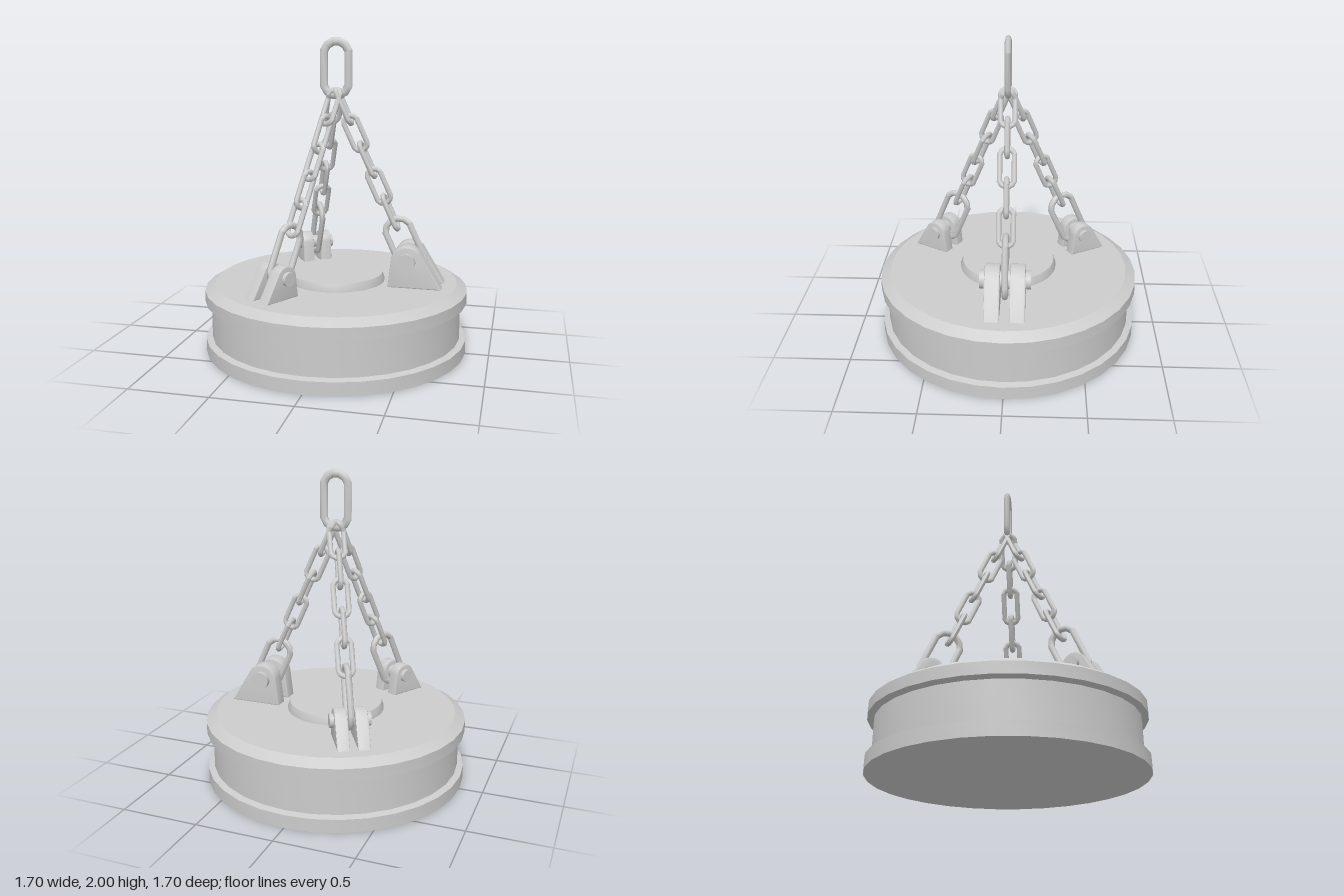
import * as THREE from 'three';
import { toCreasedNormals } from 'three/addons/utils/BufferGeometryUtils.js';

const material = new THREE.MeshStandardMaterial({ color: 0xcccccc });

function addMesh(parent, name, geometry) {
  const mesh = new THREE.Mesh(geometry, material);
  mesh.name = name;
  parent.add(mesh);
  return mesh;
}

function turned(points) {
  const profile = points.map(([r, y]) => new THREE.Vector2(r, y));
  return toCreasedNormals(new THREE.LatheGeometry(profile, 32), 0.5);
}

// Oval chain link in the xy plane: a ring pulled apart along y
function linkGeometry(halfWidth, halfLength, barX, barZ) {
  const ringRadius = halfWidth - barX;
  const geometry = new THREE.TorusGeometry(ringRadius * 1.03, barX, 8, 12);
  geometry.rotateZ(Math.PI / 12);
  geometry.scale(1, 1, barZ / barX);
  const pos = geometry.attributes.position;
  const stretch = halfLength - halfWidth;
  for (let i = 0; i < pos.count; i++) {
    pos.setY(i, pos.getY(i) + Math.sign(pos.getY(i)) * stretch);
  }
  geometry.computeVertexNormals();
  return geometry;
}

// Lug cheek, measured from its outer bottom corner
function plateGeometry() {
  const shape = new THREE.Shape();
  shape.moveTo(-0.34, 0);
  shape.lineTo(0, 0);
  shape.lineTo(-0.138, 0.227);
  shape.absarc(-0.22, 0.17, 0.1, 0.6, Math.PI - 0.15, false);
  shape.closePath();
  const bevel = 0.01;
  const geometry = new THREE.ExtrudeGeometry(shape, {
    depth: 0.095 - 2 * bevel, curveSegments: 10,
    bevelSize: bevel, bevelThickness: bevel, bevelOffset: -bevel, bevelSegments: 2,
  });
  geometry.translate(0, 0, bevel - 0.0475);
  return toCreasedNormals(geometry, 0.5);
}

export function createModel() {
  const model = new THREE.Group();
  model.name = 'liftingMagnet';

  // Flanged drum with a recessed waist
  addMesh(model, 'magnetBody', turned([
    [0, 0], [0.85, 0], [0.85, 0.085], [0.81, 0.095], [0.81, 0.32],
    [0.85, 0.333], [0.85, 0.405], [0.785, 0.445], [0, 0.445],
  ]));
  addMesh(model, 'centreCap', turned([
    [0.318, 0.44], [0.318, 0.455], [0.303, 0.497], [0, 0.497],
  ]));

  // Master ring at the top
  addMesh(model, 'masterRing', linkGeometry(0.106, 0.193, 0.027, 0.02)).position.y = 1.807;

  const plate = plateGeometry();
  const pin = toCreasedNormals(new THREE.CylinderGeometry(0.057, 0.057, 0.314, 20), 0.6);
  pin.rotateX(Math.PI / 2);
  const smallLink = linkGeometry(0.062, 0.133, 0.017, 0.017);
  const endLink = linkGeometry(0.105, 0.205, 0.021, 0.02);
  const linkHeights = [1.57, 1.403, 1.237, 1.07, 0.905, 0.69];

  // Three legs: lug on the drum and chain up to the master ring
  for (let leg = 0; leg < 3; leg++) {
    const group = new THREE.Group();
    group.name = 'leg' + (leg + 1);
    group.rotation.y = leg * Math.PI * 2 / 3;
    model.add(group);

    const lug = new THREE.Group();
    lug.name = 'lug';
    lug.position.set(0.7, 0.443, 0);
    if (leg > 0) lug.scale.set(0.76, 0.76, 0.8);
    group.add(lug);
    for (const side of [-1, 1]) {
      addMesh(lug, 'lugPlate', plate).position.z = side * 0.0775;
    }
    addMesh(lug, 'lugPin', pin).position.set(-0.22, 0.17, 0);

    // Links alternate a quarter turn down the chain
    linkHeights.forEach((y, i) => {
      const last = i === linkHeights.length - 1;
      const link = addMesh(group, last ? 'endLink' : 'chainLink', last ? endLink : smallLink);
      link.position.set(0.127 + 0.46 * (1.4 - y), y, 0);
      link.rotation.set(0, i % 2 === 0 ? Math.PI / 2 : 0, 0.431, 'ZYX');
    });
  }
  return model;
}
